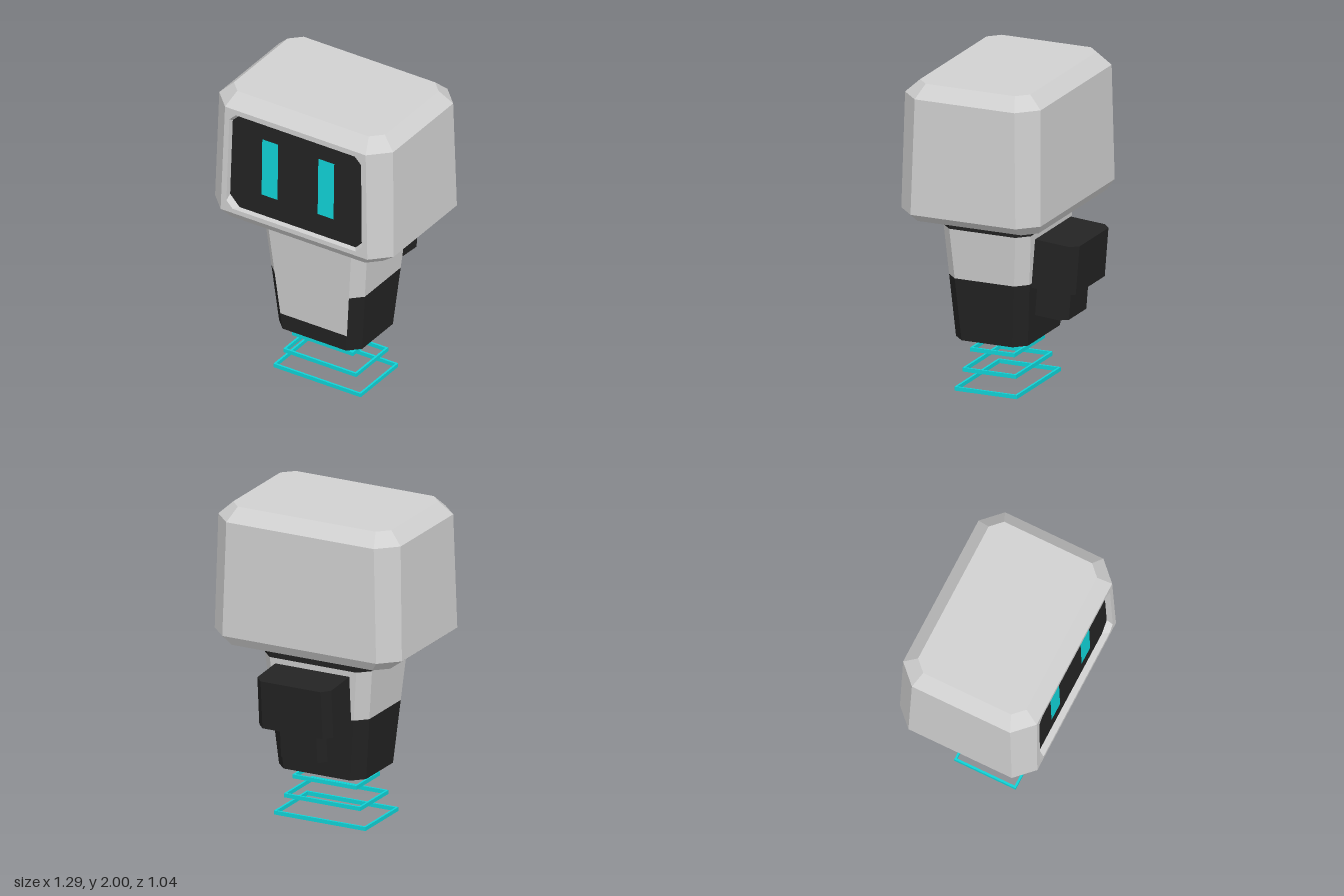
import * as THREE from 'three';

const shell = new THREE.MeshStandardMaterial({ color: 0xd0d0d0 });
const dark = new THREE.MeshStandardMaterial({ color: 0x232323 });
const glow = new THREE.MeshStandardMaterial({ color: 0x10d4d8 });
shell.name = 'light grey shell';
dark.name = 'charcoal';
glow.name = 'cyan glow';

const lerp = THREE.MathUtils.lerp;

// Chamfered rectangle at height y, counter-clockwise from above; edge 0 is the front.
function ring(y, hx, zf, zb, c) {
  return [
    [-hx + c, zf], [hx - c, zf], [hx, zf - c], [hx, zb + c],
    [hx - c, zb], [-hx + c, zb], [-hx, zb + c], [-hx, zf - c],
  ].map(([x, z]) => [x, y, z]);
}

// Quads between two matching outlines, limited to the chosen edges.
function strip(a, b, edges = a.map((_, i) => i)) {
  const out = [];
  for (const i of edges) {
    const j = (i + 1) % a.length;
    out.push(a[i], a[j], b[j], a[i], b[j], b[i]);
  }
  return out;
}

function cap(r, up) {
  const out = [];
  for (let i = 1; i < r.length - 1; i++) {
    out.push(r[0], ...(up ? [r[i], r[i + 1]] : [r[i + 1], r[i]]));
  }
  return out;
}

// Flat-shaded mesh from a list of triangle corners.
function facets(name, points, material) {
  const g = new THREE.BufferGeometry();
  g.setAttribute('position', new THREE.Float32BufferAttribute(points.flat(), 3));
  g.computeVertexNormals();
  return named(name, g, material);
}

function named(name, geometry, material) {
  const m = new THREE.Mesh(geometry, material);
  m.name = name;
  return m;
}

const toShape = (pts) => new THREE.Shape(pts.map(([x, y]) => new THREE.Vector2(x, y)));

// The face leans back slightly towards the top.
const faceZ = (y) => 0.52 - 0.0205 * (y - 1.19);

function leanFlat(shape, offset) {
  const g = new THREE.ShapeGeometry(shape);
  const p = g.attributes.position;
  for (let i = 0; i < p.count; i++) p.setZ(i, faceZ(p.getY(i)) + offset);
  g.computeVertexNormals();
  return g;
}

// Tapered screen outline with cut corners.
function screenOutline(c) {
  const b = 1.22, t = 1.885;
  const w = (y) => lerp(0.49, 0.475, (y - b) / (t - b));
  const right = [[w(b) - c, b], [w(b + c), b + c], [w(t - c), t - c], [w(t) - c, t]];
  return [...right, ...right.map(([x, y]) => [-x, y]).reverse()];
}

function makeHead() {
  const head = new THREE.Group();
  head.name = 'head';
  const r = [
    ring(1.13, 0.565, 0.475, -0.375, 0.08),
    ring(1.19, 0.645, 0.52, -0.41, 0.115),
    ring(1.92, 0.628, faceZ(1.92), -0.4, 0.12),
    ring(2.0, 0.545, 0.42, -0.315, 0.07),
  ];
  head.add(facets('headShell', [
    ...cap(r[0], false), ...strip(r[0], r[1]),
    ...strip(r[1], r[2], [1, 2, 3, 4, 5, 6, 7]),
    ...strip(r[2], r[3]), ...cap(r[3], true),
  ], shell));

  // Front frame with an opening, recess walls and the sunken screen
  const depth = 0.04;
  const opening = screenOutline(0.045), inner = screenOutline(0.07);
  const frame = toShape([r[1][0], r[1][1], r[2][1], r[2][0]]);
  frame.holes.push(toShape(opening));
  head.add(named('faceFrame', leanFlat(frame, 0), shell));
  const front = opening.map(([x, y]) => [x, y, faceZ(y)]);
  const back = inner.map(([x, y]) => [x, y, faceZ(y) - depth]);
  head.add(facets('screenRecess', strip(front, back), shell));
  head.add(named('screen', leanFlat(toShape(inner), -depth), dark));

  // Eyes
  for (const s of [-1, 1]) {
    const x = s * 0.2025, w = 0.0575;
    const eye = toShape([[x - w, 1.365], [x + w, 1.365], [x + w, 1.755], [x - w, 1.755]]);
    head.add(named(s > 0 ? 'leftEye' : 'rightEye', leanFlat(eye, -depth + 0.004), glow));
  }
  return head;
}

function makeBody() {
  const body = new THREE.Group();
  body.name = 'body';
  const at = (y) => {
    const t = (y - 0.32) / 0.81;
    return ring(y, lerp(0.3, 0.377, t), lerp(0.295, 0.352, t), lerp(-0.185, -0.242, t), 0.07);
  };
  const sides = [1, 2, 3, 4, 5, 6, 7];
  body.add(facets('lowerBody', [
    ...cap(at(0.32), false), ...strip(at(0.32), at(0.72), sides),
    ...strip(at(0.32), at(0.43), [0]),
  ], dark));
  body.add(facets('upperBody', [
    ...strip(at(0.72), at(1.04), sides), ...strip(at(0.43), at(1.04), [0]),
  ], shell));
  body.add(facets('neckBand', strip(at(1.04), at(1.15)), dark));
  return body;
}

// Block with cut rear corners, leaning with the back of the body
function makePack(name, hx, depth, height, c, y, z) {
  const shape = toShape([[-hx, 0], [hx, 0], [hx, depth - c], [hx - c, depth], [-hx + c, depth], [-hx, depth - c]]);
  const g = new THREE.ExtrudeGeometry(shape, { depth: height, bevelEnabled: false });
  g.rotateX(-Math.PI / 2);
  const m = named(name, g, dark);
  m.position.set(0, y, z);
  m.rotation.x = -0.08;
  return m;
}

// Thin rectangular hover ring
function makeHoverRing(hx, hz, y) {
  const rect = (x, z) => toShape([[-x, -z], [x, -z], [x, z], [-x, z]]);
  const shape = rect(hx, hz);
  shape.holes.push(rect(hx - 0.013, hz - 0.013));
  const g = new THREE.ExtrudeGeometry(shape, { depth: 0.025, bevelEnabled: false });
  g.rotateX(-Math.PI / 2);
  const m = named('hoverRing', g, glow);
  m.position.set(0, y, 0.057);
  return m;
}

export function createModel() {
  const model = new THREE.Group();
  model.name = 'hoverRobot';
  model.add(makeHead(), makeBody());
  model.add(makePack('backpack', 0.255, 0.275, 0.31, 0.048, 0.7, -0.22));
  model.add(makePack('backpackBase', 0.17, 0.205, 0.2, 0.045, 0.5, -0.205));
  for (const [hx, hz, y] of [[0.22, 0.148, 0.23], [0.263, 0.178, 0.11], [0.315, 0.208, 0]]) {
    model.add(makeHoverRing(hx, hz, y));
  }
  return model;
}
